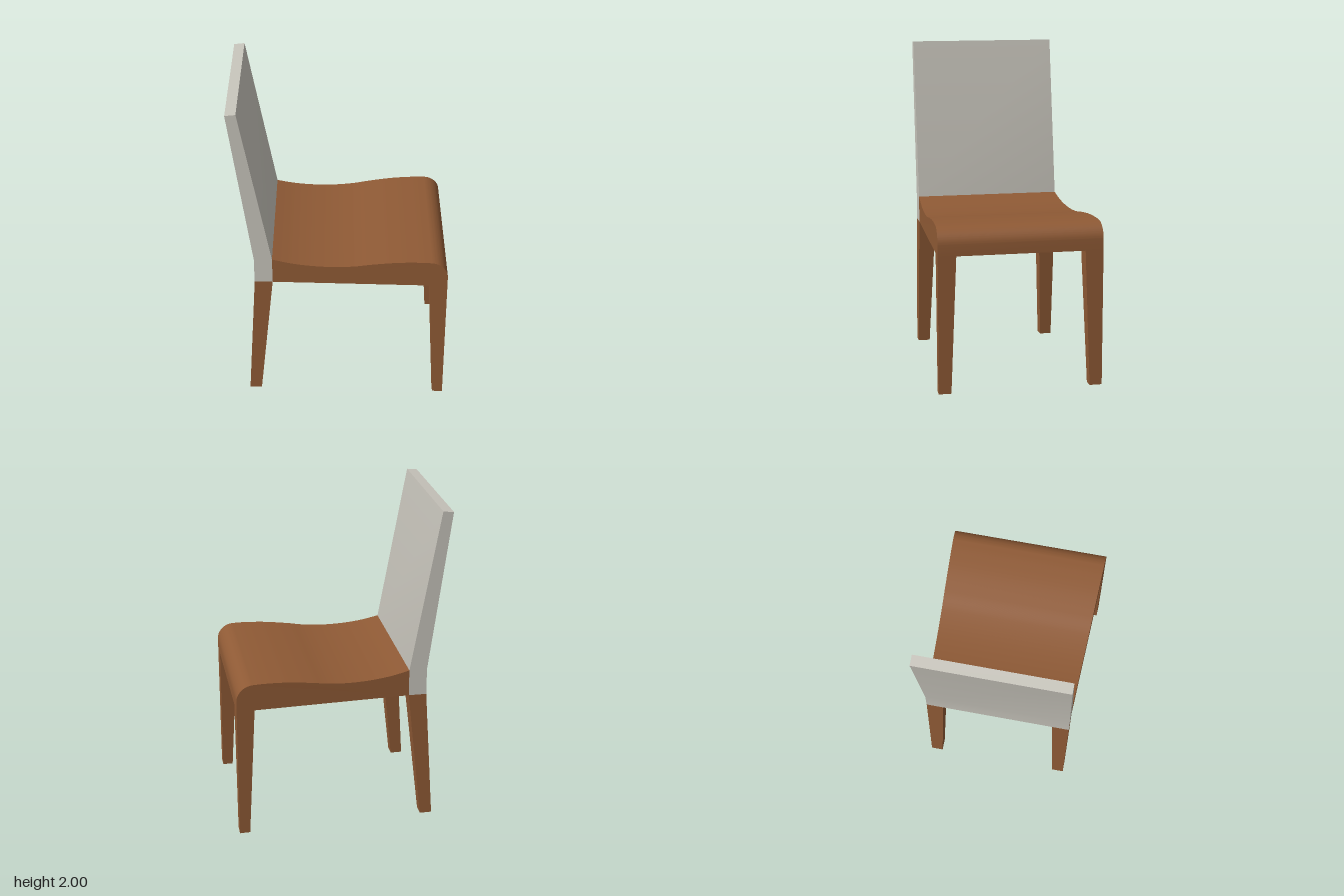
import * as THREE from 'three';
import { toCreasedNormals } from 'three/addons/utils/BufferGeometryUtils.js';

const UNDER = 0.835; // height of the seat underside

// Half width of the seat, widening from the back to the front
const halfWidth = (x) => 0.456 + Math.max(0, x + 0.412) * 0.0413;

// Extrude a side profile across the chair, z from -1 to 1
function extrudeProfile(shape) {
  const geo = new THREE.ExtrudeGeometry(shape, { depth: 2, bevelEnabled: false, curveSegments: 24 });
  geo.translate(0, 0, -1);
  const p = geo.attributes.position;
  for (let i = 0; i < p.count; i++) p.setZ(i, p.getZ(i) * halfWidth(p.getX(i)));
  return toCreasedNormals(geo, 0.4);
}

// Tapered leg: x range and inner z at the top and the bottom
function legGeometry(top, bottom, side) {
  const geo = new THREE.BoxGeometry(1, 1, 1);
  const p = geo.attributes.position;
  for (let i = 0; i < p.count; i++) {
    const isTop = p.getY(i) > 0;
    const [x0, x1, inner] = isTop ? top : bottom;
    const x = p.getX(i) > 0 ? x1 : x0;
    const outer = p.getZ(i) * side > 0;
    p.setXYZ(i, x, isTop ? UNDER : 0, side * (outer ? halfWidth(x) : inner));
  }
  geo.computeVertexNormals();
  return geo;
}

export function createModel() {
  const wood = new THREE.MeshStandardMaterial({ name: 'brown wood', color: 0x8f5a35 });
  const grey = new THREE.MeshStandardMaterial({ name: 'light grey', color: 0xc6c3ba });
  const chair = new THREE.Group();
  chair.name = 'chair';
  const add = (name, geo, mat) => {
    const mesh = new THREE.Mesh(geo, mat);
    mesh.name = name;
    chair.add(mesh);
  };

  // Seat with a dished top and rounded front edge
  const seat = new THREE.Shape();
  seat.moveTo(-0.412, UNDER);
  seat.lineTo(0.654, UNDER);
  seat.lineTo(0.654, 0.905);
  seat.bezierCurveTo(0.65, 0.955, 0.61, 0.997, 0.555, 1.001);
  seat.splineThru([
    [0.48, 1.003], [0.35, 0.998], [0.2, 0.981], [0.08, 0.963], [-0.05, 0.956],
    [-0.18, 0.961], [-0.3, 0.976], [-0.412, 1.001],
  ].map(([x, y]) => new THREE.Vector2(x, y)));
  seat.lineTo(-0.412, UNDER);
  add('seat', extrudeProfile(seat), wood);

  // Backrest, upright beside the seat and then leaning back
  const back = new THREE.Shape([
    [-0.522, UNDER], [-0.412, UNDER], [-0.412, 1.001], [-0.592, 2], [-0.656, 1.993], [-0.522, 1.001],
  ].map(([x, y]) => new THREE.Vector2(x, y)));
  add('backrest', extrudeProfile(back), grey);

  // Legs, mirrored across the chair
  for (const side of [1, -1]) {
    add('frontLeg', legGeometry([0.545, 0.654, 0.39], [0.59, 0.654, 0.424], side), wood);
    add('backLeg', legGeometry([-0.522, -0.412, 0.349], [-0.577, -0.503, 0.382], side), wood);
  }
  return chair;
}
